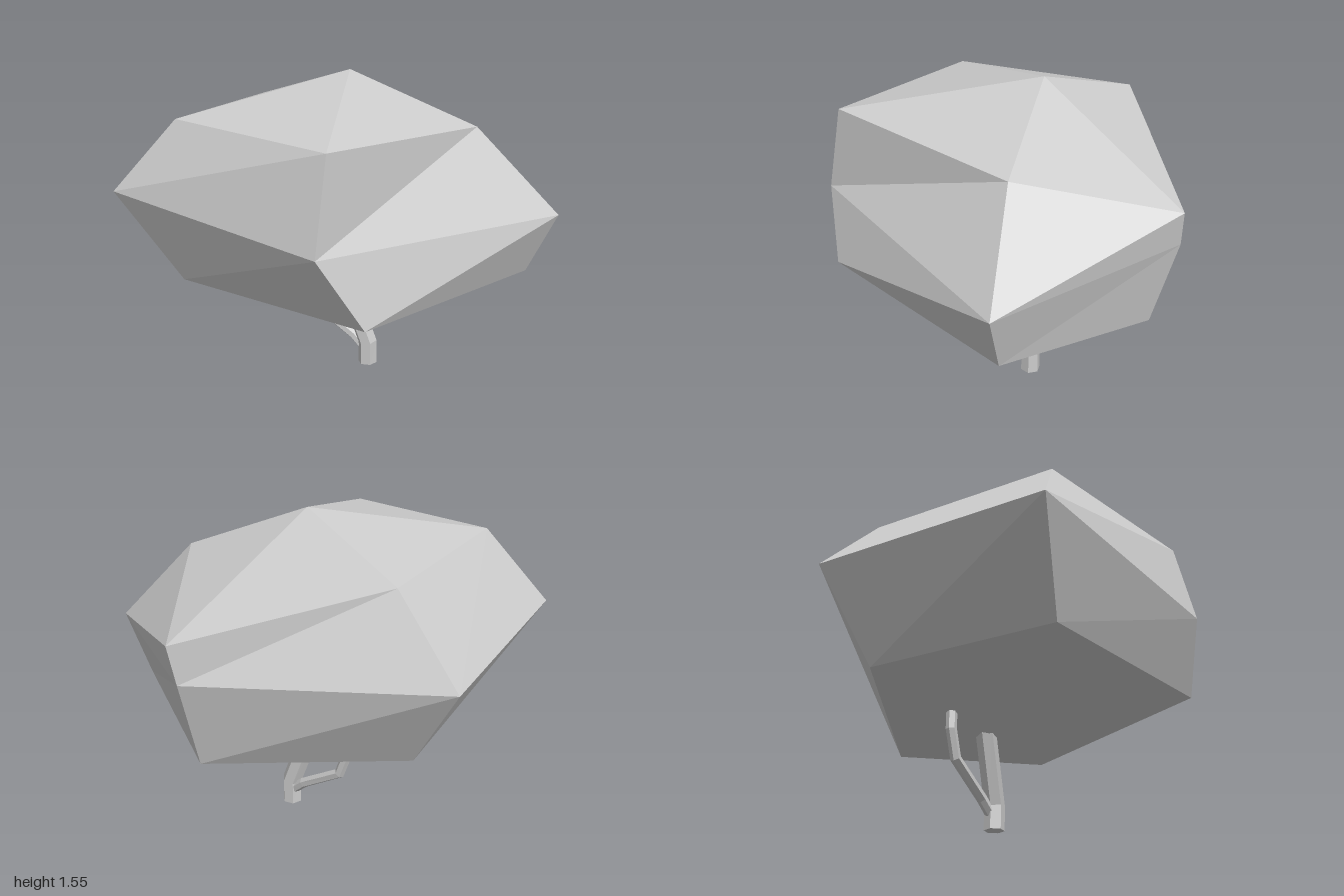
import * as THREE from 'three';

const material = new THREE.MeshStandardMaterial({ color: 0xcccccc, flatShading: true });

function makeMesh(name, points, index) {
  const indexed = new THREE.BufferGeometry();
  indexed.setAttribute('position', new THREE.Float32BufferAttribute(points.flat(), 3));
  indexed.setIndex(index);
  const geometry = indexed.toNonIndexed();
  geometry.computeVertexNormals();
  const mesh = new THREE.Mesh(geometry, material);
  mesh.name = name;
  return mesh;
}

// Skin stacked rings (bottom to top, counterclockwise from above) and close both ends to a point
function loft(name, bottom, rings, top) {
  const n = rings[0].length;
  const points = [bottom, ...rings.flat(), top];
  const last = points.length - 1;
  const index = [];
  for (let i = 0; i < n; i++) {
    const j = (i + 1) % n;
    index.push(0, 1 + j, 1 + i);
    for (let r = 0; r < rings.length - 1; r++) {
      const a = 1 + r * n, b = a + n;
      index.push(a + i, a + j, b + j, a + i, b + j, b + i);
    }
    index.push(last, last - n + i, last - n + j);
  }
  return makeMesh(name, points, index);
}

// Hexagonal limb following a bent path, with mitred joints
function limb(name, path, radius) {
  const pts = path.map((p) => new THREE.Vector3(...p));
  const rings = pts.map((p, k) => {
    const t = new THREE.Vector3();
    if (k > 0) t.add(p.clone().sub(pts[k - 1]).normalize());
    if (k < pts.length - 1) t.add(pts[k + 1].clone().sub(p).normalize());
    t.normalize();
    const u = new THREE.Vector3(0, 0, 1).addScaledVector(t, -t.z).normalize();
    const v = new THREE.Vector3().crossVectors(t, u);
    return Array.from({ length: 6 }, (_, i) => {
      const a = -i * Math.PI / 3;
      return p.clone().addScaledVector(v, radius * Math.cos(a))
        .addScaledVector(u, radius * Math.sin(a)).toArray();
    });
  });
  return loft(name, path[0], rings, path[path.length - 1]);
}

export function createModel() {
  const group = new THREE.Group();
  group.name = 'tree';

  // Faceted crown: three irregular five-sided rings between two tips
  const lower = [[-0.7, 0.62, 0.42], [0.27, 0.62, 0.78], [0.86, 0.585, -0.2], [0.21, 0.49, -0.76], [-0.68, 0.57, -0.45]];
  const middle = [[-1, 1.05, 0.48], [0.085, 0.945, 0.87], [1, 0.885, -0.2], [0.23, 0.92, -0.87], [-0.91, 1, -0.61]];
  const upper = [[-0.7, 1.39, 0.41], [0.11, 1.365, 0.78], [0.59, 1.305, -0.17], [0.27, 1.095, -0.875], [-0.6, 1.365, -0.51]];
  group.add(loft('crown', [-0.02, 0.412, -0.19], [lower, middle, upper], [-0.04, 1.555, -0.18]));

  // Bent trunk and its side branch, both ending inside the crown
  group.add(limb('trunk', [[0.062, 0, -0.16], [0.062, 0.12, -0.16], [-0.075, 0.5, -0.16]], 0.05));
  group.add(limb('branch', [[0.05, 0.07, -0.17], [-0.02, 0.135, -0.19], [-0.235, 0.27, -0.232], [-0.28, 0.4, -0.238], [-0.28, 0.54, -0.238]], 0.026));

  return group;
}
